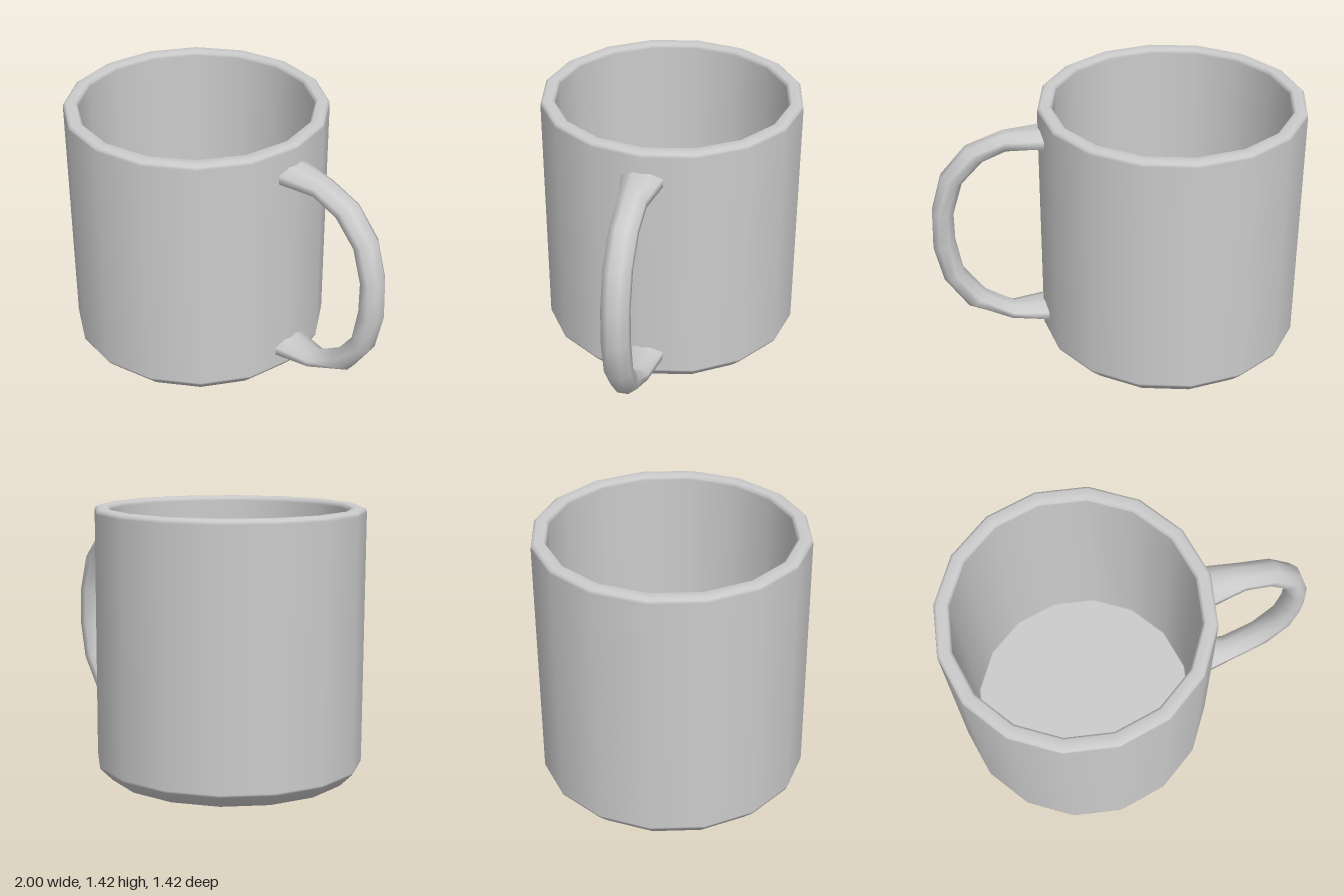
import * as THREE from 'three';

const material = new THREE.MeshStandardMaterial({ color: 0xcccccc });

// Hollow 16-sided cup turned from one closed profile [radius, height]
function createCup() {
  const profile = [
    [0, 0], [0.6, 0], [0.64, 0.002], [0.706, 0.068], [0.708, 0.08],
    [0.708, 1.395], [0.705, 1.41], [0.69, 1.42],
    [0.645, 1.42], [0.632, 1.41], [0.63, 1.395],
    [0.622, 0.08], [0.615, 0.07], [0, 0.07],
  ].map(([r, y]) => new THREE.Vector2(r, y));
  const cup = new THREE.Mesh(new THREE.LatheGeometry(profile, 16), material);
  cup.name = 'cup';
  cup.position.x = -0.292;
  return cup;
}

// Handle: octagonal loops spanning an outer and an inner edge, flared at the wall
function createHandle() {
  // [outer x, outer y, inner x, inner y, half width]
  const sections = [
    [0.37, 1.308, 0.37, 1.198, 0.112],
    [0.597, 1.29, 0.588, 1.193, 0.072],
    [0.795, 1.215, 0.713, 1.14, 0.07],
    [0.933, 1.055, 0.826, 1.02, 0.07],
    [0.992, 0.845, 0.88, 0.84, 0.07],
    [1.0, 0.636, 0.88, 0.648, 0.07],
    [0.955, 0.43, 0.848, 0.465, 0.07],
    [0.83, 0.242, 0.735, 0.31, 0.07],
    [0.607, 0.145, 0.575, 0.21, 0.074],
    [0.37, 0.123, 0.37, 0.235, 0.112],
  ];
  const sides = 8;
  const positions = [];
  const indices = [];
  const stretch = 1 / Math.cos(Math.PI / sides);
  sections.forEach(([ox, oy, ix, iy, w], i) => {
    for (let j = 0; j < sides; j++) {
      const a = ((j + 0.5) / sides) * Math.PI * 2;
      const t = 0.5 + 0.5 * stretch * Math.cos(a);
      positions.push(ix + (ox - ix) * t, iy + (oy - iy) * t, w * stretch * Math.sin(a));
      if (i === sections.length - 1) continue;
      const p = i * sides + j;
      const q = i * sides + ((j + 1) % sides);
      indices.push(p, q, q + sides, p, q + sides, p + sides);
    }
  });
  const geometry = new THREE.BufferGeometry();
  geometry.setAttribute('position', new THREE.Float32BufferAttribute(positions, 3));
  geometry.setIndex(indices);
  geometry.computeVertexNormals();
  const handle = new THREE.Mesh(geometry, material);
  handle.name = 'handle';
  return handle;
}

export function createModel() {
  const mug = new THREE.Group();
  mug.name = 'mug';
  mug.add(createCup(), createHandle());
  return mug;
}
